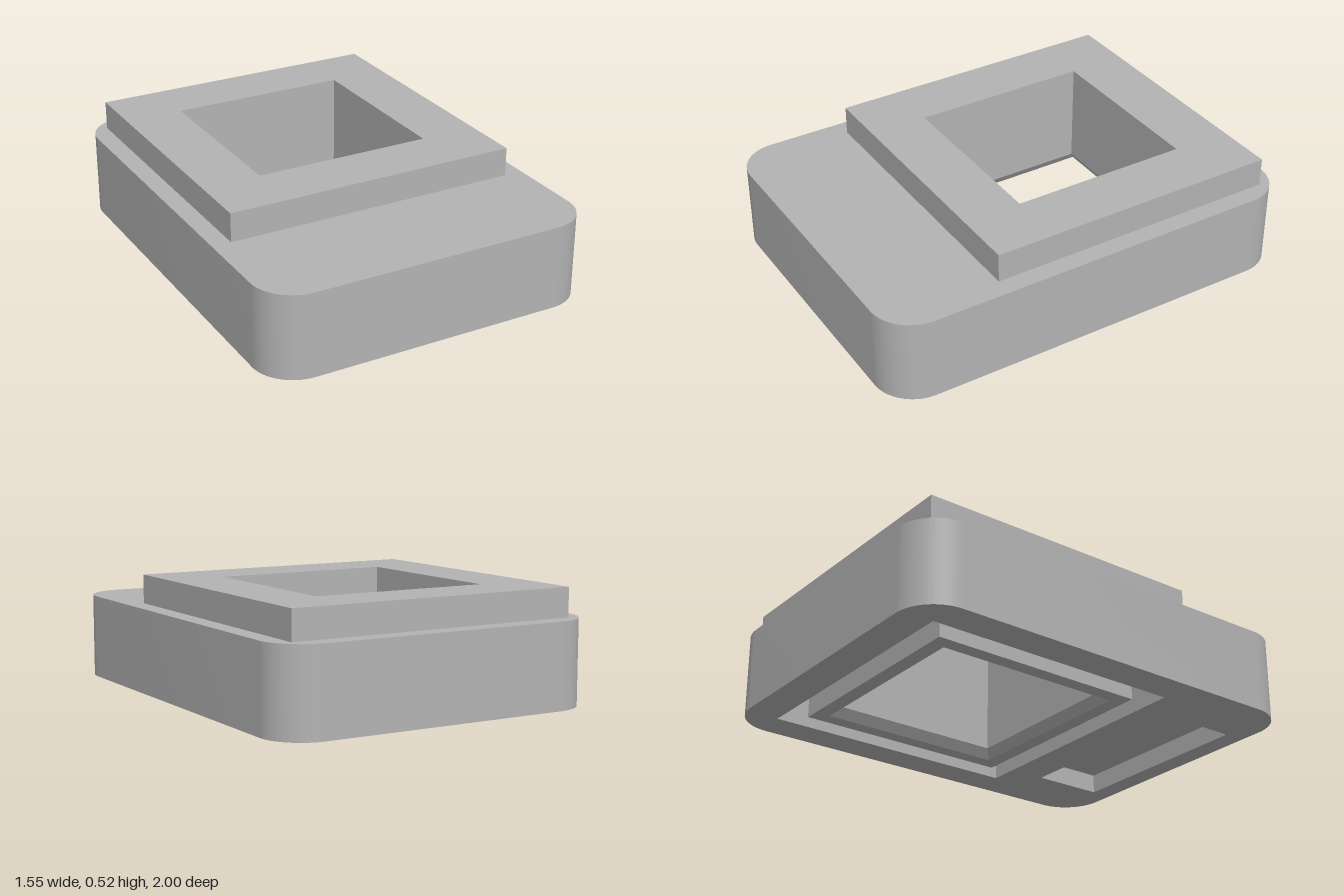
import * as THREE from 'three';
import { toCreasedNormals } from 'three/addons/utils/BufferGeometryUtils.js';

const BODY_H = 0.387;   // top of the rounded base
const FRAME_Z = -0.228; // centre of the square frame
const GROOVE = 0.615;   // half width of the groove's outer wall
const SLOT = { halfX: 0.475, z0: 0.562, z1: 0.9, depth: 0.09 };

// Rectangle outline in plan; shape y is -z
function rectPath(halfX, z0, z1) {
  return new THREE.Path([
    new THREE.Vector2(-halfX, -z0),
    new THREE.Vector2(halfX, -z0),
    new THREE.Vector2(halfX, -z1),
    new THREE.Vector2(-halfX, -z1),
  ]);
}

function roundedRect(hx, hz, r) {
  const s = new THREE.Shape();
  s.absarc(hx - r, hz - r, r, 0, Math.PI / 2);
  s.absarc(r - hx, hz - r, r, Math.PI / 2, Math.PI);
  s.absarc(r - hx, r - hz, r, Math.PI, Math.PI * 1.5);
  s.absarc(hx - r, r - hz, r, Math.PI * 1.5, Math.PI * 2);
  s.closePath();
  return s;
}

export function createModel() {
  const group = new THREE.Group();
  const grey = new THREE.MeshStandardMaterial({ color: 0xb3b3b3 });
  grey.name = 'grey';

  function add(name, geometry) {
    const mesh = new THREE.Mesh(geometry, grey);
    mesh.name = name;
    group.add(mesh);
    return mesh;
  }

  // Rounded base, open for the frame and the underside slot
  const outline = roundedRect(0.773, 1, 0.19);
  outline.holes.push(
    rectPath(GROOVE, FRAME_Z - GROOVE, FRAME_Z + GROOVE),
    rectPath(SLOT.halfX, SLOT.z0, SLOT.z1),
  );
  const base = new THREE.ExtrudeGeometry(outline, { depth: BODY_H, bevelEnabled: false, curveSegments: 16 });
  base.rotateX(-Math.PI / 2);
  add('base', toCreasedNormals(base, 0.5));

  // Solid above the slot, leaving a shallow pocket underneath
  const fillH = BODY_H - SLOT.depth;
  add('slotCeiling', new THREE.BoxGeometry(SLOT.halfX * 2, fillH, SLOT.z1 - SLOT.z0))
    .position.set(0, SLOT.depth + fillH / 2, (SLOT.z0 + SLOT.z1) / 2);

  // Square frame: raised plate, chamfered opening, inner collar and groove
  const section = [
    [0.686, BODY_H], [0.686, 0.52], [0.415, 0.52], [0.415, 0.045], [0.445, 0],
    [0.515, 0], [0.515, 0.45], [GROOVE, 0.45], [GROOVE, BODY_H], [0.686, BODY_H],
  ].map(([half, y]) => new THREE.Vector2(half * Math.SQRT2, y));
  const frame = new THREE.LatheGeometry(section, 4, Math.PI / 4);
  add('squareFrame', toCreasedNormals(frame, 0.1)).position.z = FRAME_Z;

  return group;
}
